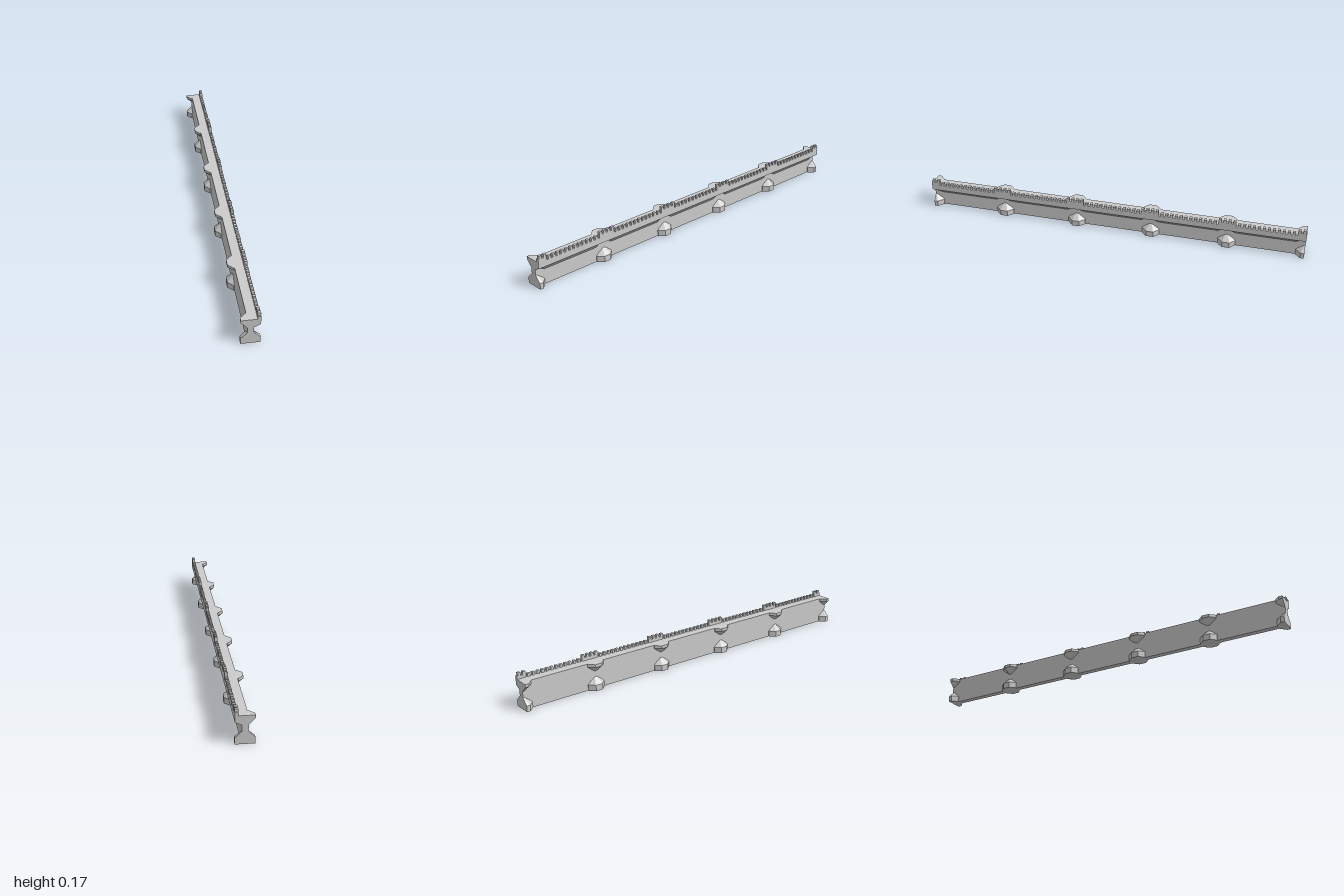
import * as THREE from 'three';

const WEB = 0.015, OUT = 0.0455, TOP = 0.139;
const PIERS = [-1, -0.6, -0.2, 0.2, 0.6, 1];
const mat = new THREE.MeshStandardMaterial({ color: 0xcccccc, flatShading: true });

function mesh(name, geometry) {
  const m = new THREE.Mesh(geometry, mat);
  m.name = name;
  return m;
}

function box(name, x0, x1, y0, y1, z0, z1) {
  const m = mesh(name, new THREE.BoxGeometry(x1 - x0, y1 - y0, z1 - z0));
  m.position.set((x0 + x1) / 2, (y0 + y1) / 2, (z0 + z1) / 2);
  return m;
}

// Skin a list of equal-length rings and close both ends
function loft(rings) {
  const pos = [];
  const tri = (a, b, c) => pos.push(...a, ...b, ...c);
  const n = rings[0].length;
  for (let k = 0; k < rings.length - 1; k++) {
    const a = rings[k], b = rings[k + 1];
    for (let i = 0; i < n; i++) {
      const j = (i + 1) % n;
      tri(a[i], a[j], b[j]);
      tri(a[i], b[j], b[i]);
    }
  }
  const first = rings[0], last = rings[rings.length - 1];
  for (let i = 1; i < n - 1; i++) {
    tri(first[0], first[i + 1], first[i]);
    tri(last[0], last[i], last[i + 1]);
  }
  const g = new THREE.BufferGeometry();
  g.setAttribute('position', new THREE.Float32BufferAttribute(pos, 3));
  g.computeVertexNormals();
  return g;
}

// Half of a regular octagon on the side z * side >= 0, cut off at maxX
function halfOctagon(a, y, side, maxX) {
  const c = a * (Math.SQRT2 - 1);
  const pts = [[-a, 0], [-a, c], [-c, a], [c, a], [a, c], [a, 0]]
    .map(([x, z]) => [Math.min(x, maxX), y, z * side]);
  return side > 0 ? pts : pts.reverse();
}

// Stack of half octagons given as [apothem, height]
const halfPier = (levels, side, maxX = 1) =>
  loft(levels.map(([a, y]) => halfOctagon(a, y, side, maxX)));

export function createModel() {
  const group = new THREE.Group();

  // Long straight wall
  group.add(box('wall', -WEB, WEB, 0, TOP, -1, 1));

  // Overhanging ledge, its soffit rising over every pier
  const section = (z, s) =>
    [[WEB, s, z], [OUT, 0.108, z], [OUT, TOP, z], [WEB, TOP, z]];
  const sections = [];
  for (const p of PIERS) {
    for (const [d, s] of [[-0.05, 0.078], [-0.02, 0.093], [0.02, 0.093], [0.05, 0.078]]) {
      const z = THREE.MathUtils.clamp(p + d, -1, 1);
      if (Math.abs(p + d) <= 1) sections.push(section(z, s));
      else if (s > 0.09) sections.push(section(z, s));
    }
  }
  group.add(mesh('ledge', loft(sections)));

  // Piers: tapered foot on both sides, flared platform on the plain side
  for (const p of PIERS) {
    const pier = new THREE.Group();
    pier.name = 'pier';
    pier.position.z = p;
    for (const side of [-1, 1]) {
      if (Math.abs(p) === 1 && side === p) continue;
      pier.add(mesh('foot', halfPier([[OUT, 0], [OUT, 0.031], [WEB, 0.062]], side)));
      pier.add(mesh('platform', halfPier([[WEB, 0.093], [OUT, 0.124], [OUT, TOP]], side, 0)));
    }
    group.add(pier);
    group.add(box('raisedParapet', 0.03, OUT, TOP, 0.155,
      Math.max(-1, p - OUT), Math.min(1, p + OUT)));
  }

  // Merlons, one step higher over the piers
  for (let i = 0; i < 80; i++) {
    const z = -1 + 0.025 * (i + 0.5), j = i % 16;
    const y = j < 2 || j > 13 ? 0.155 : TOP;
    group.add(box('merlon', 0.03, OUT, y, y + 0.0155, z - 0.007, z + 0.007));
  }
  return group;
}
